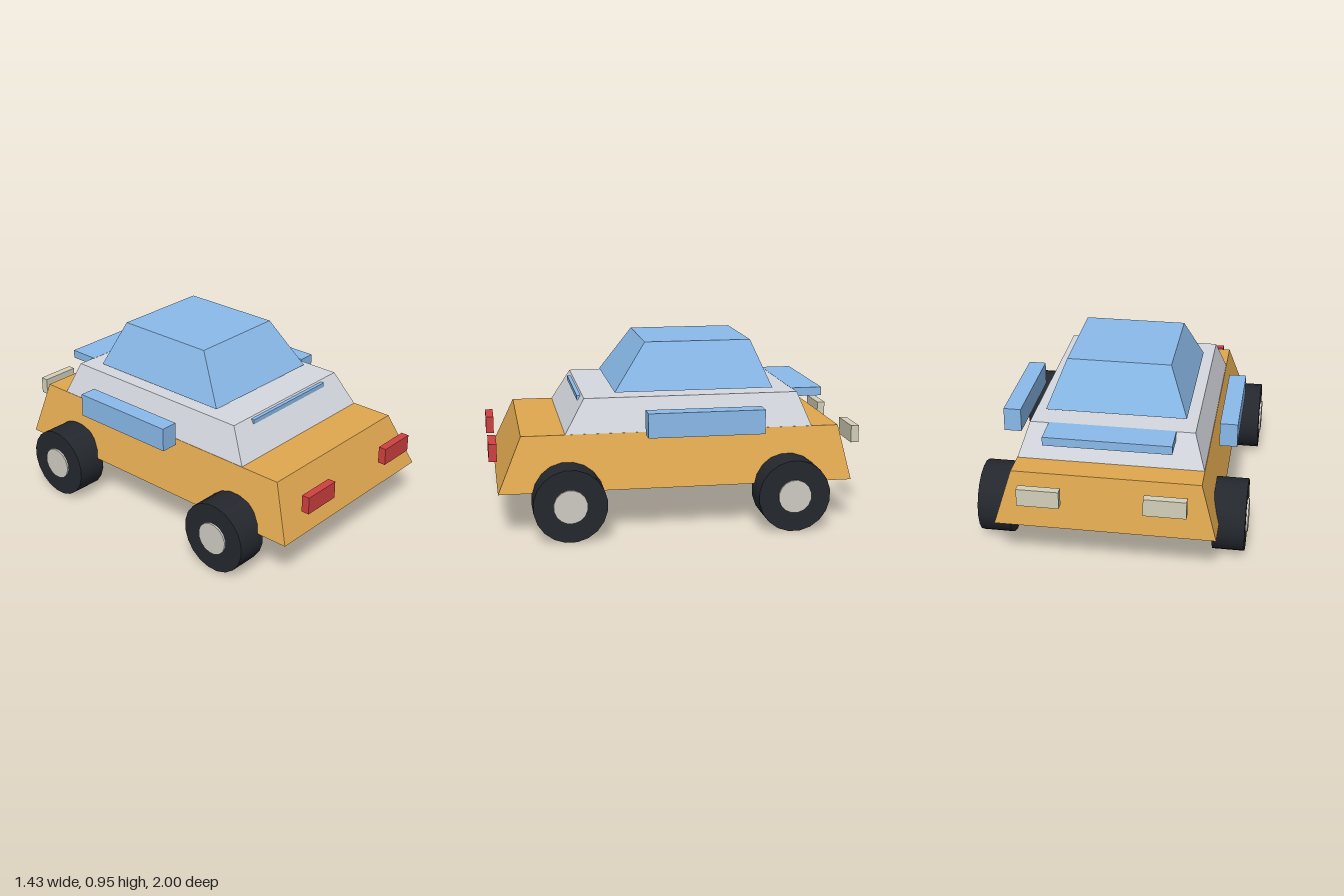
import * as THREE from 'three';

const mat = (color) => new THREE.MeshStandardMaterial({ color });

// Box whose top and bottom rectangles differ; each is { x: halfWidth, y, back, front }
function taperedBox(bottom, top) {
  const geo = new THREE.BoxGeometry(2, 2, 2);
  const p = geo.attributes.position;
  for (let i = 0; i < p.count; i++) {
    const r = p.getY(i) > 0 ? top : bottom;
    p.setXYZ(i, Math.sign(p.getX(i)) * r.x, r.y, p.getZ(i) > 0 ? r.front : r.back);
  }
  geo.computeVertexNormals();
  return geo;
}

// Box given by its limits on each axis
function boxBetween(x0, x1, y0, y1, z0, z1) {
  const geo = new THREE.BoxGeometry(x1 - x0, y1 - y0, z1 - z0);
  return geo.translate((x0 + x1) / 2, (y0 + y1) / 2, (z0 + z1) / 2);
}

export function createModel() {
  const car = new THREE.Group();
  car.name = 'car';
  const paint = mat(0xe0a850);
  const cabin = mat(0xd6d9e0);
  const glass = mat(0x8abaea);
  const red = mat(0xd04040);
  const cream = mat(0xd4d0ba);
  const rubber = mat(0x24282e);
  const metal = mat(0xd0ccc4);

  const add = (name, geo, material, parent = car) => {
    const mesh = new THREE.Mesh(geo, material);
    mesh.name = name;
    parent.add(mesh);
    return mesh;
  };

  // Stacked tapered volumes: body, cabin base and glass top
  add('body', taperedBox(
    { x: 0.57, y: 0.23, back: -0.915, front: 0.96 },
    { x: 0.487, y: 0.513, back: -0.86, front: 0.835 }), paint);
  add('cabinBase', taperedBox(
    { x: 0.485, y: 0.513, back: -0.715, front: 0.605 },
    { x: 0.428, y: 0.69, back: -0.645, front: 0.5 }), cabin);
  add('glassTop', taperedBox(
    { x: 0.37, y: 0.705, back: -0.525, front: 0.33 },
    { x: 0.273, y: 0.955, back: -0.42, front: 0.155 }), glass);

  // Front strip and rear spoiler
  add('frontStrip', boxBetween(-0.297, 0.297, 0.656, 0.681, 0.49, 0.525), glass);
  add('rearSpoiler', boxBetween(-0.33, 0.33, 0.645, 0.691, -0.81, -0.64), glass);

  for (const [side, s] of [['left', 1], ['right', -1]]) {
    // Side panel and lamps
    const panel = add(`${side}SidePanel`, boxBetween(-0.047, 0.047, 0.511, 0.64, -0.425, 0.19), glass);
    panel.position.x = s * 0.581;
    const front = add(`${side}FrontLamp`, boxBetween(-0.108, 0.108, 0.373, 0.466, 0.957, 1), red);
    front.position.x = s * 0.332;
    const rear = add(`${side}RearLamp`, boxBetween(-0.108, 0.108, 0.397, 0.49, -1, -0.957), cream);
    rear.position.x = s * 0.319;

    // Wheels: tyre with a slightly wider hub
    for (const [end, z] of [['Front', 0.6], ['Rear', -0.57]]) {
      const wheel = new THREE.Group();
      wheel.name = `${side}${end}Wheel`;
      wheel.position.set(s * 0.619, 0.19, z);
      const disc = (r, w, n) =>
        new THREE.CylinderGeometry(r, r, w, n).rotateY(Math.PI / n).rotateZ(Math.PI / 2);
      add('tyre', disc(0.191, 0.168, 20), rubber, wheel);
      add('hub', disc(0.088, 0.188, 16), metal, wheel);
      car.add(wheel);
    }
  }
  return car;
}
